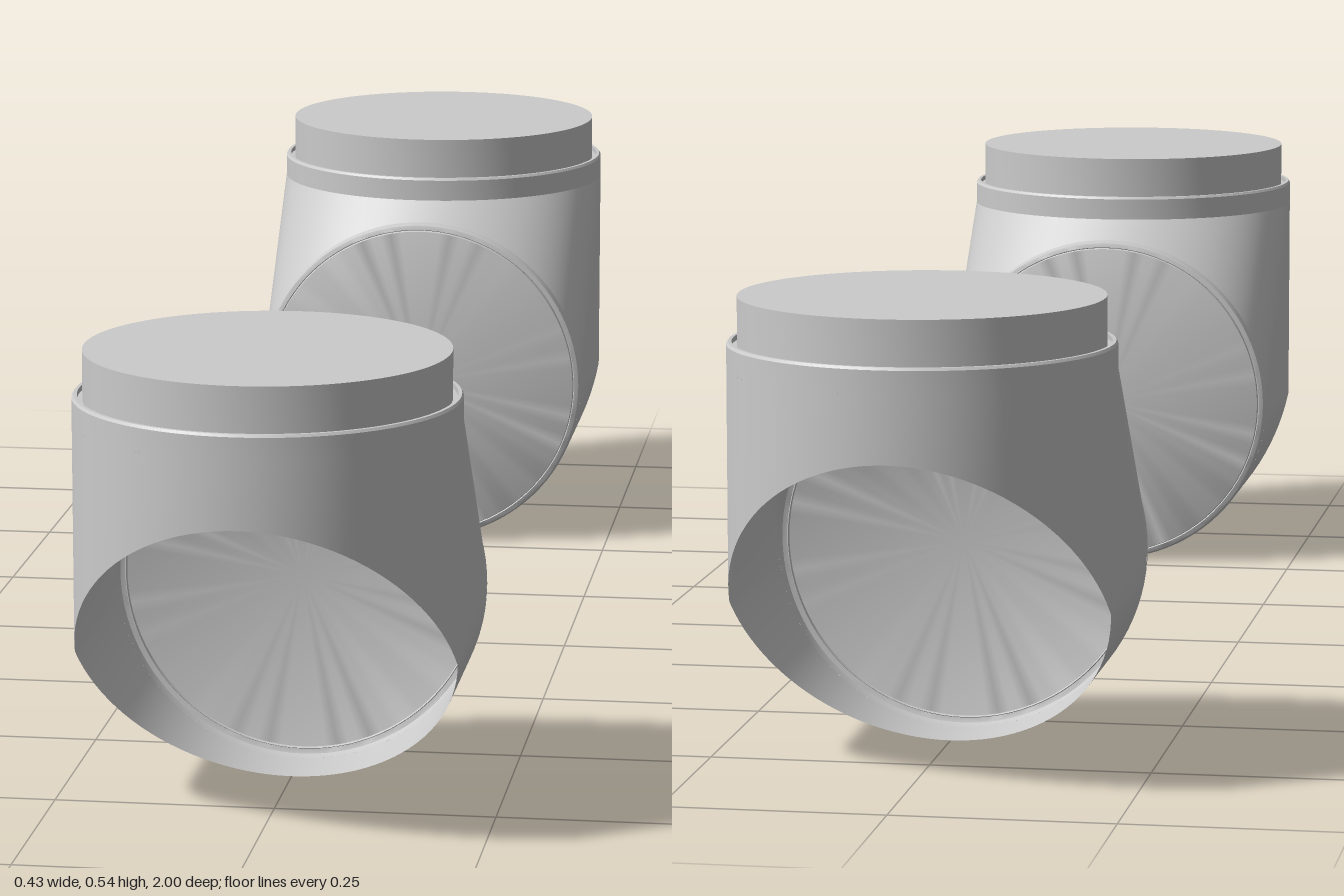
import * as THREE from 'three';
import { toCreasedNormals } from 'three/addons/utils/BufferGeometryUtils.js';

const R = 0.215;               // pipe radius
const CY = 0.22, CZ = 0.785;   // height of the level leg, depth of the upright leg
const TOP = 0.46, END = 0.545; // where the blended body meets its two rims
const CUT = 0.615;             // sloping opening: y = z - CUT
const material = new THREE.MeshStandardMaterial({ color: 0xcccccc, side: THREE.DoubleSide });

function named(name, geometry) {
  const mesh = new THREE.Mesh(geometry, material);
  mesh.name = name;
  return mesh;
}

// One line down the shell: upright rim, first join, second join, level rim
function shellLine(t, outer) {
  const x = R * Math.cos(t), s = R * Math.sin(t);
  const z = CZ - s, y = CY + s;
  let p, q;
  if (outer) {
    // mitred corner, sliced away by the sloping opening
    p = [x, Math.max(y, z - CUT), z];
    q = [x, y, Math.min(z, y + CUT)];
  } else {
    // 45 degree web on the inside of the bend
    p = q = [x, (TOP + y) / 2, (z + END) / 2];
  }
  return [[x, TOP, z], p, q, [x, y, END]].map((v) => new THREE.Vector3(...v));
}

function elbowShell() {
  const n = 48, lines = [];
  for (let i = 0; i <= n; i++) lines.push(shellLine((Math.PI * i) / n, false));
  // outer half, with columns exactly where the opening starts
  const a = Math.asin((CY + CUT - CZ) / (2 * R));
  lines.push(shellLine(Math.PI, true));
  for (let i = 0; i <= n; i++) lines.push(shellLine(Math.PI + a + ((Math.PI - 2 * a) * i) / n, true));
  lines.push(shellLine(2 * Math.PI, true), lines[0]);

  const pos = [], tri = new THREE.Triangle();
  const add = (u, v, w) => {
    if (tri.set(u, v, w).getArea() > 1e-8) pos.push(...u.toArray(), ...v.toArray(), ...w.toArray());
  };
  for (let i = 0; i < lines.length - 1; i++) {
    const l = lines[i], m = lines[i + 1];
    for (const j of [0, 2]) {
      add(l[j], l[j + 1], m[j]);
      add(m[j], l[j + 1], m[j + 1]);
    }
  }
  const g = new THREE.BufferGeometry();
  g.setAttribute('position', new THREE.Float32BufferAttribute(pos, 3));
  return toCreasedNormals(g, 0.5);
}

function turned(profile) {
  const points = profile.map(([r, h]) => new THREE.Vector2(r, h));
  return toCreasedNormals(new THREE.LatheGeometry(points, 96), 0.5);
}

function elbow() {
  const g = new THREE.Group();
  g.add(named('elbowShell', elbowShell()));

  // Upright rim with a groove around the raised plug
  const plug = turned([[R, TOP], [R, 0.487], [0.213, 0.49], [0.209, 0.49], [0.209, 0.484],
    [0.203, 0.484], [0.203, 0.54], [0, 0.54]]);
  g.add(named('topPlug', plug.translate(0, 0, CZ)));

  // Level rim, rounded over to a nearly flush end disc
  const cap = turned([[R, 0], [R, 0.004], [0.2125, 0.011], [0.207, 0.013], [0.206, 0.011],
    [0.205, 0.015], [0, 0.015]]);
  g.add(named('endCap', cap.rotateX(-Math.PI / 2).translate(0, CY, END)));
  return g;
}

export function createModel() {
  const model = new THREE.Group();
  model.name = 'pipeElbowPair';
  const front = elbow();
  front.name = 'frontElbow';
  const back = elbow();
  back.name = 'backElbow';
  back.rotation.y = Math.PI;
  model.add(front, back);
  return model;
}
